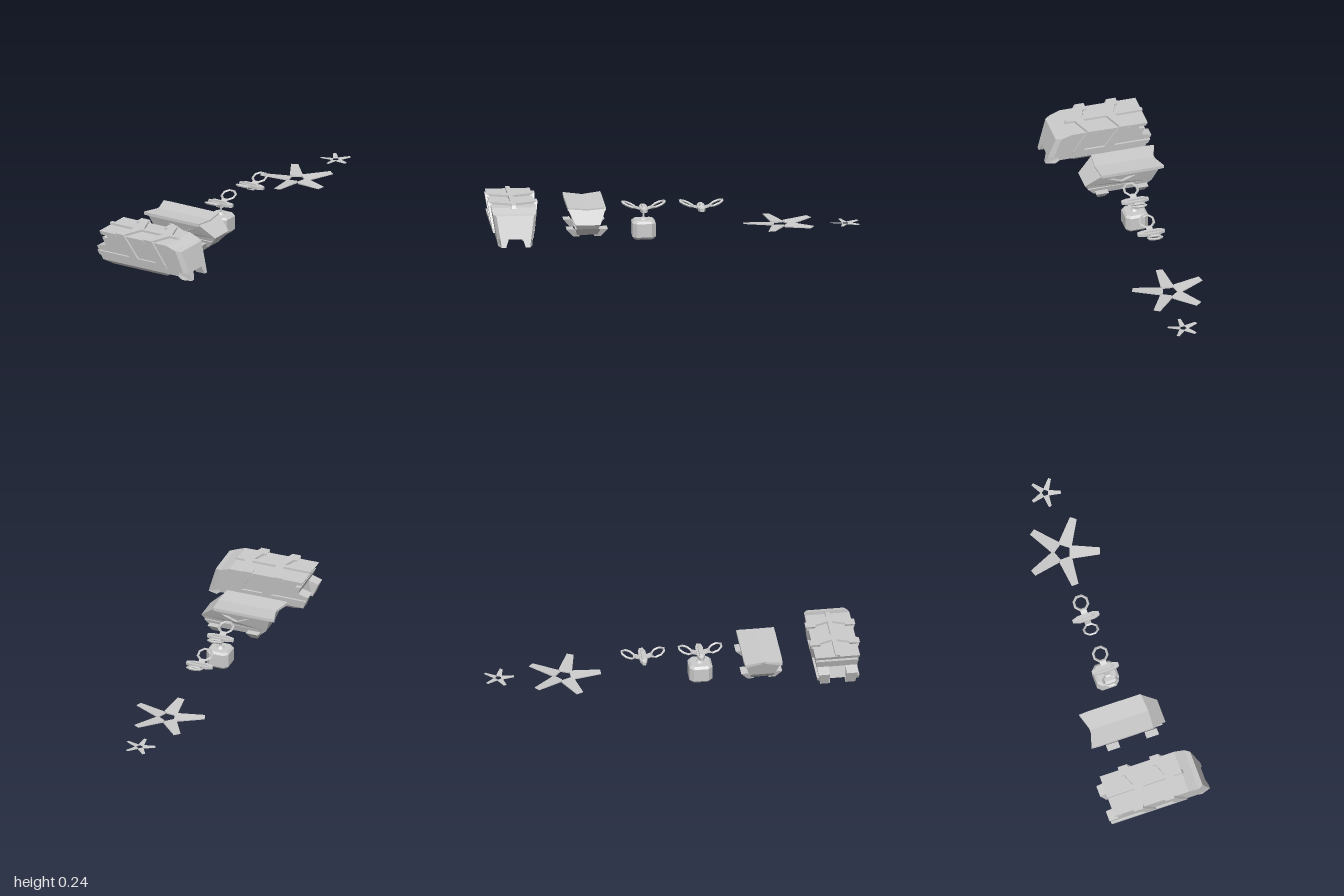
import * as THREE from 'three';

const mat = new THREE.MeshStandardMaterial({ color: 0xcccccc, flatShading: true, side: THREE.DoubleSide });
const val = (f, x, y) => (typeof f === 'function' ? f(x, y) : f);

// Prism of a side outline (x, y) whose two faces follow the z rules lo and hi
function slab(points, lo, hi, hole) {
  const toV = (p) => new THREE.Vector2(p[0], p[1]);
  const shape = new THREE.Shape(points.map(toV));
  if (hole) shape.holes.push(new THREE.Path(hole.map(toV)));
  const geo = new THREE.ExtrudeGeometry(shape, { depth: 1, bevelEnabled: false });
  const p = geo.attributes.position;
  for (let i = 0; i < p.count; i++) {
    const x = p.getX(i), y = p.getY(i), a = val(lo, x, y), b = val(hi, x, y);
    p.setZ(i, a + (b - a) * p.getZ(i));
  }
  geo.computeVertexNormals();
  return geo;
}

// Prism of a plan outline (x, z) between heights y0 and y1
const plate = (points, y0, y1) =>
  slab(points, (x, z) => -val(y1, x, z), (x, z) => -val(y0, x, z)).rotateX(Math.PI / 2);

function add(group, name, geo) {
  const mesh = new THREE.Mesh(geo, mat);
  mesh.name = name;
  group.add(mesh);
  return mesh;
}

// The same slab on both flanks
function pair(group, name, points, inner, outer, hole) {
  add(group, name + 'Left', slab(points, inner, outer, hole));
  add(group, name + 'Right', slab(points, (x, y) => -val(outer, x, y), (x, y) => -val(inner, x, y), hole));
}

function makeGroup(name, x, y, z) {
  const g = new THREE.Group();
  g.name = name;
  g.position.set(x, y, z);
  return g;
}

function largeHull() {
  const g = makeGroup('largeHull', 0, 0, 0.867);
  const w = (x, y) => 0.095 + (y - 0.055) * 0.15;
  const out = (x, y) => w(x, y) + 0.012;
  const neg = (f) => (x, y) => -f(x, y);
  add(g, 'hullBody', slab([[-0.267, 0.225], [-0.257, 0.205], [-0.22, 0.205], [-0.22, 0.19], [-0.253, 0.19],
    [-0.235, 0.145], [-0.25, 0.08], [0.25, 0.08], [0.212, 0.205], [0.155, 0.225]], neg(w), w));

  // Nose with narrowed front face
  const noseW = (x, y) => w(x, y) - (x > 0.252 - (y - 0.08) * 0.31 + 0.01 ? 0.016 : 0);
  add(g, 'nose', slab([[0.212, 0.205], [0.25, 0.08], [0.278, 0.08], [0.24, 0.2]], neg(noseW), noseW));
  pair(g, 'noseFang', [[0.2, 0.08], [0.215, 0.055], [0.24, 0.037], [0.291, 0.037], [0.278, 0.08]],
    (x, y) => 0.038 + (0.08 - y) * 0.35, (x, y) => w(x, y) - (x > 0.27 ? 0.016 : 0));

  // Bottom rails with chamfered lower edges
  pair(g, 'lowerSide', [[-0.25, 0.085], [-0.26, 0.055], [0.22, 0.055], [0.22, 0.085]], 0.042, w);
  pair(g, 'skid', [[-0.26, 0.055], [-0.2, 0.037], [0.14, 0.037], [0.146, 0.055]],
    0.052, (x, y) => (y < 0.05 ? 0.08 : 0.095));
  pair(g, 'tailTab', [[-0.235, 0.147], [-0.291, 0.13], [-0.26, 0.055], [-0.23, 0.055]], 0.045, w);

  // Raised side rail and slanting ribs, carried over the roof to a centre spine
  pair(g, 'sideRail', [[-0.283, 0.11], [-0.27, 0.085], [0.152, 0.085], [0.145, 0.11]], 0.07, out);
  for (const [x, low] of [[-0.16, -0.08], [0.018, 0.09]]) {
    pair(g, 'sideRib', [[x, 0.237], [x + 0.052, 0.237], [low + 0.055, 0.105], [low, 0.105]], 0.08, out);
    for (const s of [-1, 1]) {
      add(g, 'roofRib', plate([[x, s * 0.128], [x + 0.052, s * 0.128], [x + 0.097, 0], [x + 0.05, 0]], 0.215, 0.237));
    }
  }
  add(g, 'roofSpine', slab([[-0.27, 0.237], [-0.262, 0.215], [0.17, 0.215], [0.155, 0.237]], -0.012, 0.012));
  return g;
}

function smallHull() {
  const g = makeGroup('smallHull', 0, 0, 0.47);
  const w = (x, y) => 0.068 + Math.max(0, y - 0.1) * 0.35 - (x > 0.15 ? 0.01 : 0);
  const core = (x, y) => w(x, y) - 0.018;
  const outline = [[-0.225, 0.195], [-0.19, 0.1], [0.165, 0.1], [0.182, 0.125], [0.1, 0.195]];
  add(g, 'hullCore', slab(outline, (x, y) => -core(x, y), core));
  pair(g, 'sidePanel', outline, core, w, [[0.06, 0.165], [-0.1, 0.165], [-0.02, 0.125]]);
  const low = (x, y) => 0.055 + (y - 0.06) * 0.325;
  add(g, 'belly', slab([[-0.19, 0.1], [-0.15, 0.06], [0.13, 0.06], [0.165, 0.1]], (x, y) => -low(x, y), low));

  // Swallow-tailed roof, slightly raised along the outer edges
  add(g, 'roof', plate([[-0.25, 0.1], [-0.22, 0], [-0.25, -0.1], [-0.2, -0.103], [0.1, -0.102], [0.108, 0],
    [0.1, 0.102], [-0.2, 0.103]], 0.185, (x, z) => (z === 0 ? 0.196 : 0.202)));

  // Splayed feet
  for (const x of [-0.125, 0.095]) {
    pair(g, 'foot', [[x - 0.035, 0.09], [x - 0.02, 0.048], [x + 0.02, 0.048], [x + 0.035, 0.09]],
      (x, y) => 0.04 + (y - 0.048) * 0.8, (x, y) => 0.075 + (y - 0.048) * 0.85);
  }
  return g;
}

function drone(z) {
  const g = makeGroup('drone', -0.025, 0.16, z);
  add(g, 'body', plate([[-0.075, 0.008], [-0.04, 0.02], [0.045, 0.02], [0.075, 0.01],
    [0.075, -0.01], [0.045, -0.02], [-0.04, -0.02], [-0.075, -0.008]], -0.008, 0.008));
  add(g, 'topFin', slab([[-0.07, 0.005], [-0.045, 0.016], [0.03, 0.016], [0.06, 0.005]], -0.008, 0.008));
  add(g, 'keel', slab([[-0.03, -0.005], [-0.02, -0.02], [0.02, -0.02], [0.03, -0.005]], -0.014, 0.014));
  for (const s of [-1, 1]) {
    const ring = add(g, 'rotorRing', new THREE.TorusGeometry(0.039, 0.007, 4, 8).rotateZ(Math.PI / 8).rotateX(Math.PI / 2));
    ring.position.set(0, 0.022, s * 0.08);
    ring.rotation.x = -s * 0.4;
    const arm = add(g, 'rotorArm', new THREE.BoxGeometry(0.035, 0.008, 0.035));
    arm.position.set(0, 0.003, s * 0.03);
    arm.rotation.x = -s * 0.3;
  }
  return g;
}

function crate() {
  const g = makeGroup('crate', -0.023, 0, 0.155);
  // Eight-sided box with chamfered top and bottom
  const octagon = (r, c) => [[r, c], [c, r], [-c, r], [-r, c], [-r, -c], [-c, -r], [c, -r], [r, -c]];
  const layers = [[0, 0.051, 0.036], [0.014, 0.063, 0.04], [0.088, 0.063, 0.04], [0.1, 0.051, 0.036]];
  const pos = [];
  const at = (k, i) => {
    const [y, r, c] = layers[k], p = octagon(r, c)[i % 8];
    return [p[0], y, p[1]];
  };
  for (let i = 0; i < 8; i++) {
    for (let k = 0; k < 3; k++) {
      const a = at(k, i), b = at(k, i + 1), c = at(k + 1, i + 1), d = at(k + 1, i);
      pos.push(...a, ...d, ...c, ...a, ...c, ...b);
    }
    pos.push(0, 0, 0, ...at(0, i), ...at(0, i + 1), 0, 0.1, 0, ...at(3, i + 1), ...at(3, i));
  }
  const geo = new THREE.BufferGeometry();
  geo.setAttribute('position', new THREE.Float32BufferAttribute(pos, 3));
  geo.computeVertexNormals();
  add(g, 'box', geo);
  add(g, 'clamp', new THREE.CylinderGeometry(0.012, 0.025, 0.014, 8)).position.y = 0.105;
  add(g, 'stem', new THREE.CylinderGeometry(0.006, 0.006, 0.05, 6)).position.y = 0.125;
  return g;
}

// Five tapering, slightly twisted blades joined around an open hub
function propeller(name, x, z, scale) {
  const g = makeGroup(name, x, 0.068, z);
  const top = (x, z) => (z - 0.06) * 0.03 + x * 0.08;
  const blade = plate([[-0.026, 0.036], [0.026, 0.036], [0.036, 0.05], [0.019, 0.2], [-0.019, 0.2], [-0.036, 0.05]],
    (x, z) => top(x, z) - (z < 0.1 ? 0.007 : 0.003), top);
  for (let i = 0; i < 5; i++) add(g, 'blade', blade).rotation.y = (i * Math.PI * 2) / 5;
  g.scale.setScalar(scale);
  return g;
}

export function createModel() {
  const model = new THREE.Group();
  model.name = 'vehicleKit';
  model.add(largeHull(), smallHull(), drone(0.155), crate(), drone(-0.155),
    propeller('largePropeller', -0.006, -0.58, 1), propeller('smallPropeller', 0.018, -0.93, 0.42));
  return model;
}
